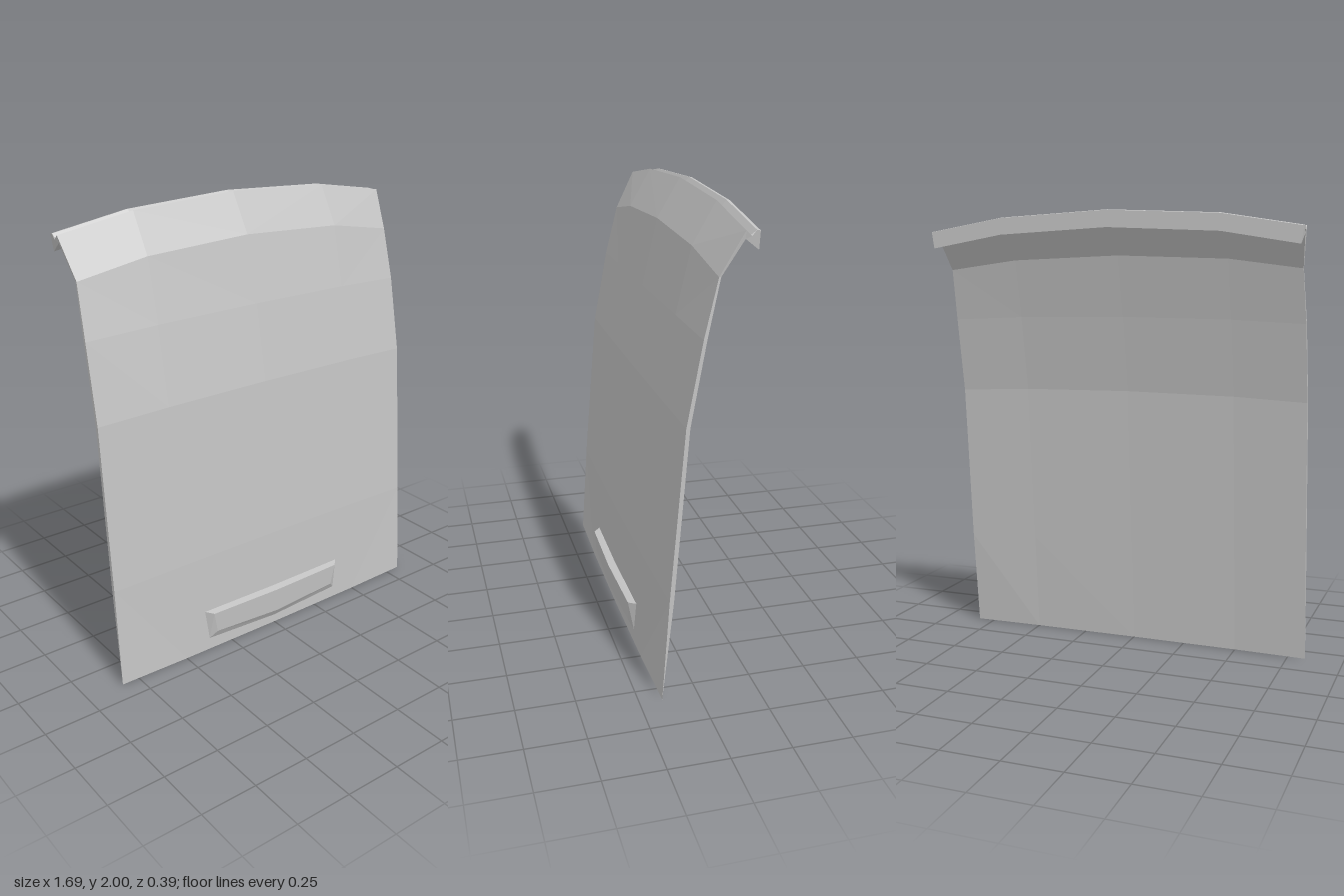
import * as THREE from 'three';

const grey = new THREE.MeshStandardMaterial({ color: 0xc3c3c3 });
grey.name = 'panelGrey';
grey.flatShading = true;
grey.side = THREE.DoubleSide;

// Sheet through rows of points, all rows of equal length, with mirrored diagonals
function loft(name, rows) {
  const n = rows[0].length, index = [];
  for (let j = 0; j < rows.length - 1; j++) {
    for (let i = 0; i < n - 1; i++) {
      const a = j * n + i, b = a + 1, c = a + n, d = c + 1;
      if (i < (n - 1) / 2) index.push(a, b, c, b, d, c);
      else index.push(a, b, d, a, d, c);
    }
  }
  const g = new THREE.BufferGeometry();
  g.setAttribute('position', new THREE.Float32BufferAttribute(rows.flat(2), 3));
  g.setIndex(index);
  g.computeVertexNormals();
  const mesh = new THREE.Mesh(g, grey);
  mesh.name = name;
  return mesh;
}

// Mirrored row that bends from its centre to its edge
function bowedRow([yc, zc, ye, ze, xe]) {
  const at = (x, f) => [x, yc + (ye - yc) * f, zc + (ze - zc) * f];
  return [at(-xe, 1), at(-0.5, 0.3), at(0, 0), at(0.5, 0.3), at(xe, 1)];
}

export function createModel() {
  const model = new THREE.Group();
  model.name = 'curvedPanel';

  // Front and back skins: centre y, centre z, edge y, edge z, half width
  const front = [
    [0, 0.165, 0, 0.154, 0.83],
    [0.47, 0.145, 0.45, 0.125, 0.83],
    [1.2, 0.086, 1.18, 0.066, 0.83],
    [1.54, 0.023, 1.52, 0.003, 0.828],
    [1.83, -0.043, 1.75, -0.053, 0.82],
    [2.0, -0.143, 1.92, -0.143, 0.845],
  ].map(bowedRow);
  const back = [
    [0, 0.165, 0, 0.154, 0.83],
    [0.47, 0.131, 0.45, 0.107, 0.83],
    [1.2, 0.073, 1.18, 0.05, 0.83],
    [1.54, 0.01, 1.52, -0.011, 0.828],
    [1.81, -0.053, 1.75, -0.061, 0.82],
    [1.968, -0.143, 1.888, -0.143, 0.839],
  ].map(bowedRow);
  model.add(loft('frontSkin', front), loft('backSkin', back));

  // Arched top lip with a groove and a hanging back flap: y, z, half width
  const lip = [
    [2.0, -0.143, 0.845], [1.978, -0.165, 0.845], [2.0, -0.183, 0.845],
    [1.997, -0.197, 0.845], [1.925, -0.197, 0.834], [1.968, -0.143, 0.839],
  ].map(([y, z, x]) => bowedRow([y, z, y - 0.08, z, x]));
  model.add(loft('topLip', lip));

  // Closing strips along the sides and at the lip ends
  for (const [side, k] of [['Right', 0], ['Left', 4]]) {
    model.add(loft('sideEdge' + side, front.map((row, j) => [row[k], back[j][k]])));
    const p = lip.map((row) => row[k]);
    model.add(loft('lipEnd' + side, [[p[0], p[1], p[2], p[3]], [p[5], p[5], p[4], p[4]]]));
  }

  // Raised handle: each row runs across the front
  const handleRow = (x, ye, ze, yc, zc) => [[-x, ye, ze], [0, yc, zc], [x, ye, ze]];
  const topBack = handleRow(0.39, 0.197, 0.153, 0.197, 0.158);
  const topFront = handleRow(0.36, 0.191, 0.184, 0.191, 0.193);
  const lowFront = handleRow(0.34, 0.09, 0.179, 0.074, 0.186);
  const lowBack = handleRow(0.372, 0.055, 0.16, 0.038, 0.1645);
  const handle = new THREE.Group();
  handle.name = 'handle';
  handle.add(loft('handleShell', [lowBack, lowFront, topFront, topBack]));
  for (const [side, k] of [['Right', 0], ['Left', 2]]) {
    handle.add(loft('handleEnd' + side, [[lowFront[k], lowBack[k]], [topFront[k], topBack[k]]]));
  }
  model.add(handle);

  return model;
}
